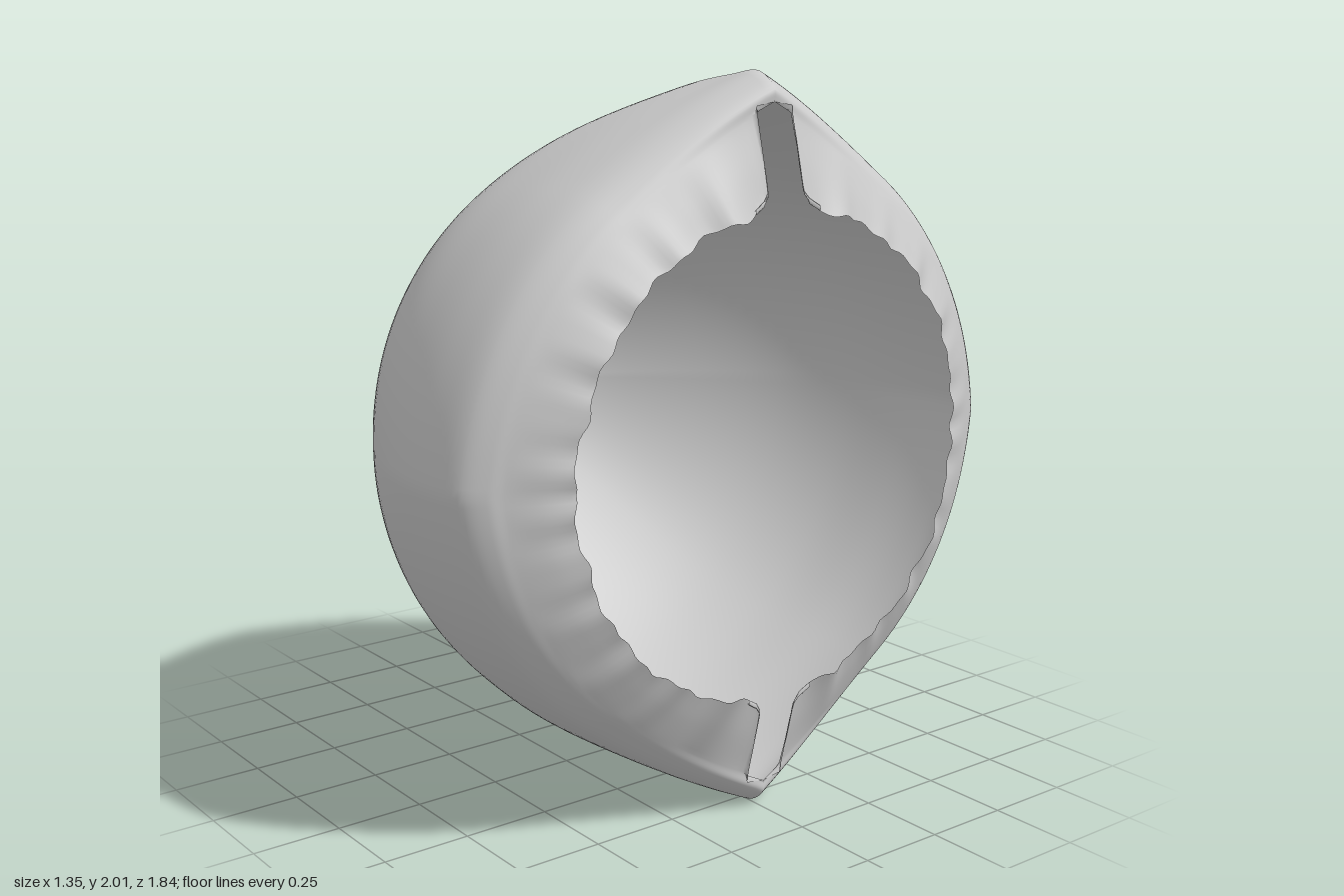
import * as THREE from 'three';
import { mergeGeometries, mergeVertices } from 'three/addons/utils/BufferGeometryUtils.js';

// Shell outlines from the closed pole to the opening, as (x, radius) pairs
const OUTLINES = {
  crest: [[-0.68, 0], [-0.66, 0.15], [-0.6, 0.33], [-0.4, 0.61], [-0.2, 0.78], [0, 0.885], [0.22, 0.955],
    [0.42, 0.99], [0.53, 1.0], [0.59, 0.955], [0.59, 0.915], [0.62, 0.78], [0.645, 0.65]],
  diagonal: [[-0.68, 0], [-0.66, 0.14], [-0.6, 0.31], [-0.4, 0.575], [-0.2, 0.75], [0, 0.845], [0.2, 0.88],
    [0.36, 0.885], [0.48, 0.865], [0.54, 0.82], [0.565, 0.79], [0.61, 0.72], [0.645, 0.655]],
  side: [[-0.68, 0], [-0.66, 0.13], [-0.6, 0.3], [-0.4, 0.565], [-0.2, 0.745], [0, 0.85], [0.2, 0.908],
    [0.35, 0.92], [0.48, 0.9], [0.53, 0.85], [0.55, 0.81], [0.595, 0.73], [0.625, 0.658]],
};
const SLOT_START = 10, SEGMENTS = 12, STEPS = 6, COLUMNS = 120;

function sampleOutline(points) {
  const curve = new THREE.CatmullRomCurve3(points.map(([x, r]) => new THREE.Vector3(x, r, 0)), false, 'centripetal');
  return curve.getPoints(SEGMENTS * STEPS);
}

// One half of the shell, on the +z or -z side
function halfShell(sign, crest, diagonal, side) {
  const positions = [], index = [], rows = SEGMENTS * STEPS;
  for (let i = 0; i <= rows; i++) {
    const lip = Math.max(0, (i / STEPS - SLOT_START) / (SEGMENTS - SLOT_START));
    for (let j = 0; j <= COLUMNS; j++) {
      const phi = (j / COLUMNS) * Math.PI;
      const a = 90 - Math.abs(90 - (j / COLUMNS) * 180); // degrees from the nearest crest
      const wCrest = Math.max(0, 1 - a / 36) ** 2;
      const wSide = Math.max(0, (a - 48) / 42) ** 2;
      const wMid = 1 - wCrest - wSide;
      let x = crest[i].x * wCrest + diagonal[i].x * wMid + side[i].x * wSide;
      let r = crest[i].y * wCrest + diagonal[i].y * wMid + side[i].y * wSide;

      // Uneven lip, with small tabs beside the slots
      x += lip * (0.006 * Math.sin(a * 0.45) + 0.022 * Math.exp(-(((a - 14) / 5) ** 2)));
      r += lip * (0.005 * Math.sin(a * 0.31 + 1) + 0.004 * Math.sin(a * 0.83));

      const y = r * Math.cos(phi);
      let z = j === 0 || j === COLUMNS ? 0 : r * Math.sin(phi);
      // Slots in the lip, flaring where they meet the opening
      if (i >= SLOT_START * STEPS) z = Math.max(z, 0.06 + 0.05 * Math.max(0, (lip - 0.8) / 0.2) ** 2);
      positions.push(x, 1 + y, sign * z);
    }
  }
  const width = COLUMNS + 1;
  for (let i = 0; i < rows; i++) {
    for (let j = 0; j < COLUMNS; j++) {
      const p = i * width + j, q = p + width;
      if (sign > 0) index.push(p, p + 1, q, p + 1, q + 1, q);
      else index.push(p, q, p + 1, p + 1, q, q + 1);
    }
  }
  const geometry = new THREE.BufferGeometry();
  geometry.setAttribute('position', new THREE.Float32BufferAttribute(positions, 3));
  geometry.setIndex(index);
  return geometry;
}

export function createModel() {
  const group = new THREE.Group();
  group.name = 'openShell';
  const outlines = [OUTLINES.crest, OUTLINES.diagonal, OUTLINES.side].map(sampleOutline);

  // Thin hollow shell, welded along the crest so it shades smoothly
  const halves = [1, -1].map((sign) => halfShell(sign, ...outlines));
  const geometry = mergeVertices(mergeGeometries(halves), 1e-5);
  geometry.computeVertexNormals();
  const material = new THREE.MeshStandardMaterial({ color: 0xcccccc, side: THREE.DoubleSide });
  const shell = new THREE.Mesh(geometry, material);
  shell.name = 'shell';
  group.add(shell);
  return group;
}
